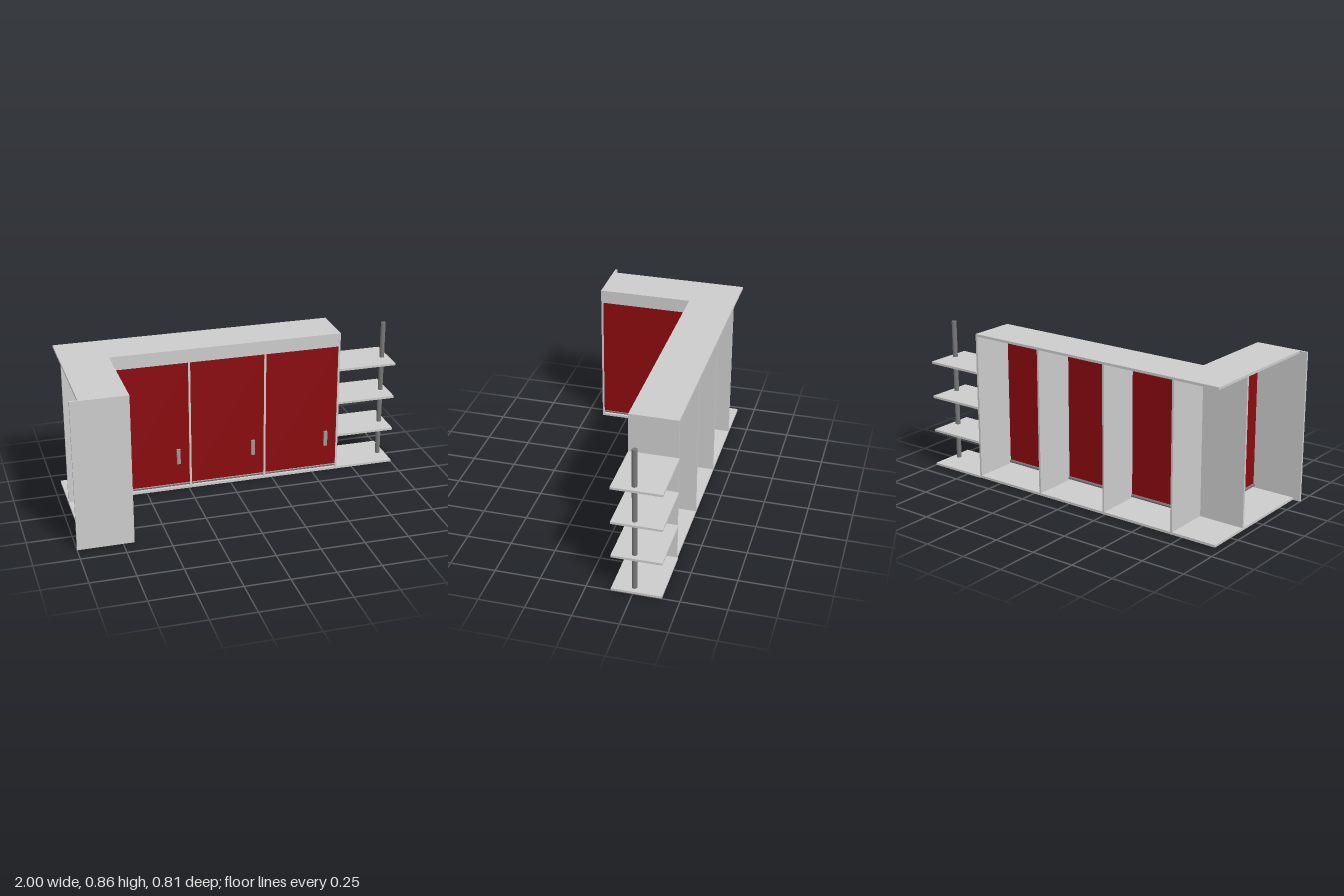
import * as THREE from 'three';

const grey = new THREE.MeshStandardMaterial({ color: 0xcccccc });
const red = new THREE.MeshStandardMaterial({ color: 0x8b0a0e });
const metal = new THREE.MeshStandardMaterial({ color: 0x777777 });
const handleGrey = new THREE.MeshStandardMaterial({ color: 0x999999 });

export function createModel() {
  const root = new THREE.Group();
  root.name = 'cornerCabinet';

  // Box given by its minimum and maximum along each axis
  const box = (name, [x0, x1], [y0, y1], [z0, z1], material = grey) => {
    const mesh = new THREE.Mesh(new THREE.BoxGeometry(x1 - x0, y1 - y0, z1 - z0), material);
    mesh.position.set((x0 + x1) / 2, (y0 + y1) / 2, (z0 + z1) / 2);
    mesh.name = name;
    root.add(mesh);
  };
  const rod = (name, radius, length, x, y, z) => {
    const mesh = new THREE.Mesh(new THREE.CylinderGeometry(radius, radius, length, 24), metal);
    mesh.position.set(x, y, z);
    mesh.name = name;
    root.add(mesh);
    return mesh;
  };

  const H = 0.86, T = 0.014;
  const back = -0.4, front = -0.133;      // main run in z
  const outer = -0.955, inner = -0.688;   // return wing in x
  const wingEnd = 0.393;
  const inside = [T, H - T];
  const fasciaY = [0.78, H - T], doorY = [0.037, 0.78], handleY = [0.165, 0.256];

  // Floor and top boards, forming an L
  for (const [name, y] of [['floor', [0, T]], ['top', [H - T, H]]]) {
    box(name + 'Main', [outer, 0.655], y, [back, front]);
    box(name + 'Wing', [outer, inner], y, [front, wingEnd]);
  }

  // Upright panels; the back stays open
  for (const x of [-0.688, -0.245, 0.199, 0.643]) {
    box('upright', [x, x + 0.012], inside, [back, front]);
  }
  box('wingUpright', [outer, inner], inside, [front, front + 0.013]);
  box('endPanel', [-1, inner], [0, H], [wingEnd, 0.405]);

  // Fascias above the doors
  box('mainFascia', [-0.676, 0.643], fasciaY, [front - 0.011, front - 0.001]);
  box('wingFascia', [inner - 0.011, inner - 0.001], fasciaY, [-0.12, wingEnd]);

  // Three doors on the main run, each with a handle and a bottom rail
  for (const x of [-0.676, -0.233, 0.211]) {
    const w = 0.432;
    box('door', [x, x + w], doorY, [front - 0.012, front - 0.002], red);
    box('handle', [x + 0.356, x + 0.376], handleY, [front - 0.002, front + 0.012], handleGrey);
    rod('bottomRail', 0.009, w, x + w / 2, 0.028, front - 0.012).rotation.z = Math.PI / 2;
  }

  // Door on the wing, facing +x
  box('wingDoor', [inner - 0.012, inner - 0.002], doorY, [-0.12, wingEnd], red);
  box('wingHandle', [inner - 0.002, inner + 0.012], handleY, [-0.067, -0.044], handleGrey);
  rod('wingBottomRail', 0.009, wingEnd + 0.12, inner - 0.012, 0.028, (wingEnd - 0.12) / 2).rotation.x = Math.PI / 2;

  // Open end shelves threaded on a pole
  for (const y of [0, 0.21, 0.417, 0.625]) {
    box('shelf', [0.655, 1], [y, y + 0.013], [-0.405, front]);
  }
  rod('pole', 0.014, 0.84, 0.96, 0.433, -0.25);

  return root;
}
